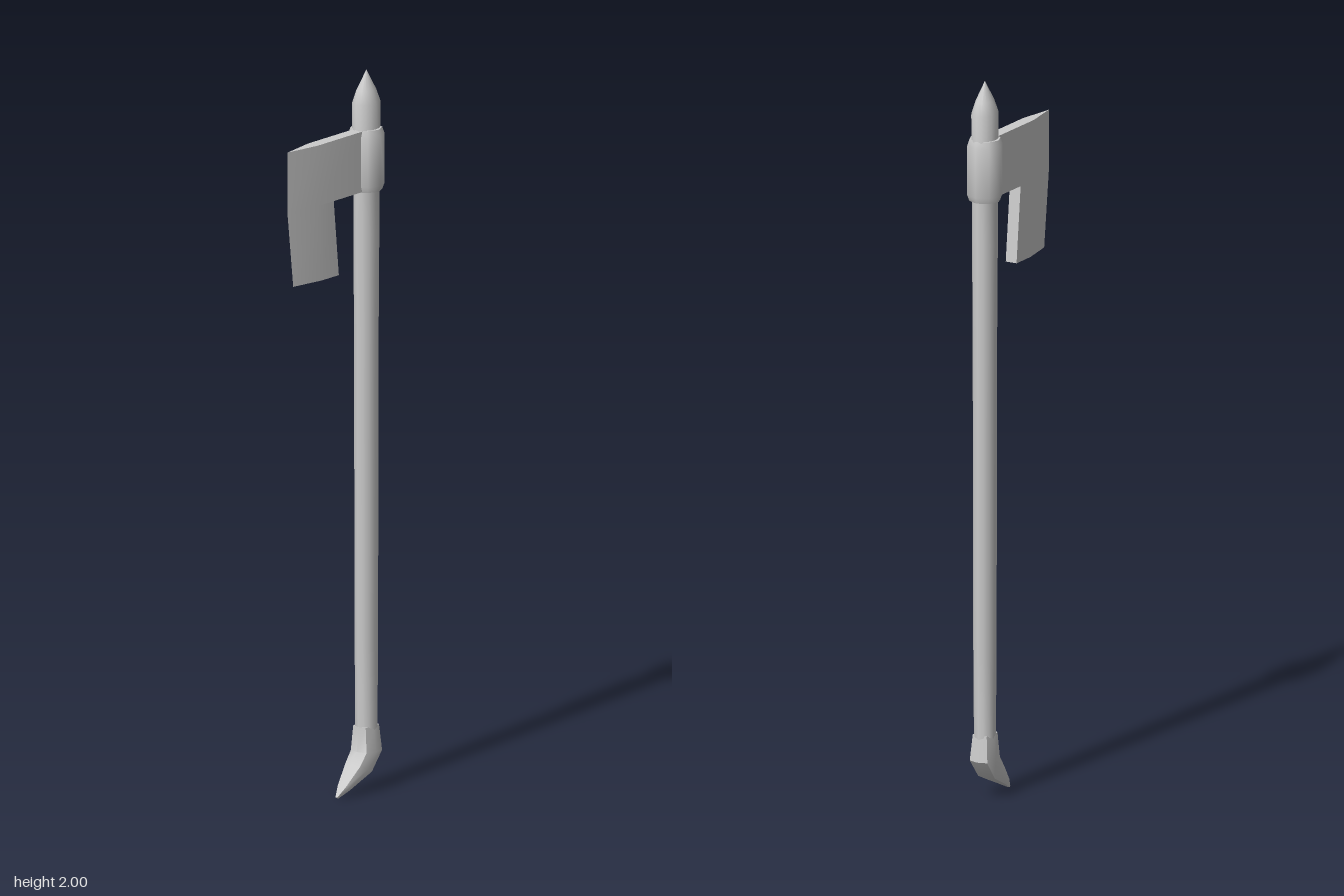
import * as THREE from 'three';
import { toCreasedNormals } from 'three/addons/utils/BufferGeometryUtils.js';

const AXIS_X = 0.137; // centre line of the pole

// Skins a stack of rings (bottom to top, each counter-clockwise from above) and caps both ends.
function loft(rings) {
  const n = rings[0].length;
  const index = [];
  for (let r = 0; r < rings.length - 1; r++) {
    for (let i = 0; i < n; i++) {
      const a = r * n + i, b = r * n + (i + 1) % n;
      index.push(a, b, b + n, a, b + n, a + n);
    }
  }
  const top = (rings.length - 1) * n;
  for (let i = 1; i < n - 1; i++) {
    index.push(0, i + 1, i);
    index.push(top, top + i, top + i + 1);
  }
  const geometry = new THREE.BufferGeometry();
  geometry.setAttribute('position', new THREE.Float32BufferAttribute(rings.flat(2), 3));
  geometry.setIndex(index);
  return toCreasedNormals(geometry, 0.7);
}

// Turned part around the pole axis; depth flattens it along z.
function turned(profile, sides, depth, crease) {
  const points = profile.map(([r, y]) => new THREE.Vector2(r, y));
  const geometry = new THREE.LatheGeometry(points, sides);
  geometry.scale(1, 1, depth).translate(AXIS_X, 0, 0);
  return toCreasedNormals(geometry, crease);
}

// Wedge section: thick back, narrowing from the bevel line to the cutting edge.
function bladeRing(y, edge, bevel, back) {
  const t = 0.017;
  return [[back, y, -t], [bevel, y, -t], [edge, y, 0], [bevel, y, t], [back, y, t]];
}

// Tilted, slightly squared oval between a left and a right point.
function footRing([lx, ly, rx, ry, halfDepth]) {
  const square = (v) => Math.sign(v) * Math.pow(Math.abs(v), 0.6);
  return Array.from({ length: 8 }, (_, i) => {
    const a = (i / 8) * Math.PI * 2;
    const s = (square(Math.cos(a)) + 1) / 2;
    return [lx + (rx - lx) * s, ly + (ry - ly) * s, -halfDepth * square(Math.sin(a))];
  });
}

export function createModel() {
  const group = new THREE.Group();
  const material = new THREE.MeshStandardMaterial({ color: 0xcccccc });
  const add = (name, geometry) => {
    const mesh = new THREE.Mesh(geometry, material);
    mesh.name = name;
    group.add(mesh);
  };

  // Long oval pole, a touch thicker towards the head
  add('shaft', turned([
    [0, 0.16], [0.034, 0.17], [0.036, 0.4], [0.038, 1.3], [0.04, 1.55], [0.04, 1.8],
  ], 12, 0.82, 0.9));

  // Pointed tip above the head
  add('spike', turned([
    [0.042, 1.75], [0.043, 1.91], [0.03, 1.945], [0, 2],
  ], 16, 0.8, 0.7));

  // Eight-sided socket with softened rims
  add('collar', turned([
    [0.034, 1.668], [0.043, 1.668], [0.049, 1.685],
    [0.049, 1.822], [0.043, 1.84], [0.034, 1.84],
  ], 8, 1, 0.9));

  // Bearded blade: the back steps outward above the beard
  add('blade', loft([
    bladeRing(1.46, -0.166, -0.068, 0.003),
    bladeRing(1.67, -0.19, -0.085, -0.018),
    bladeRing(1.67, -0.19, -0.085, 0.1),
    bladeRing(1.838, -0.19, -0.085, 0.1),
  ]));

  // Hooked grip end sweeping to a point
  add('foot', loft([
    [0.012, 0.004, 0.018, 0, 0.004],
    [0.035, 0.033, 0.052, 0.016, 0.018],
    [0.075, 0.082, 0.135, 0.053, 0.032],
    [0.098, 0.112, 0.177, 0.108, 0.034],
    [0.102, 0.18, 0.17, 0.18, 0.027],
  ].map(footRing)));

  return group;
}
